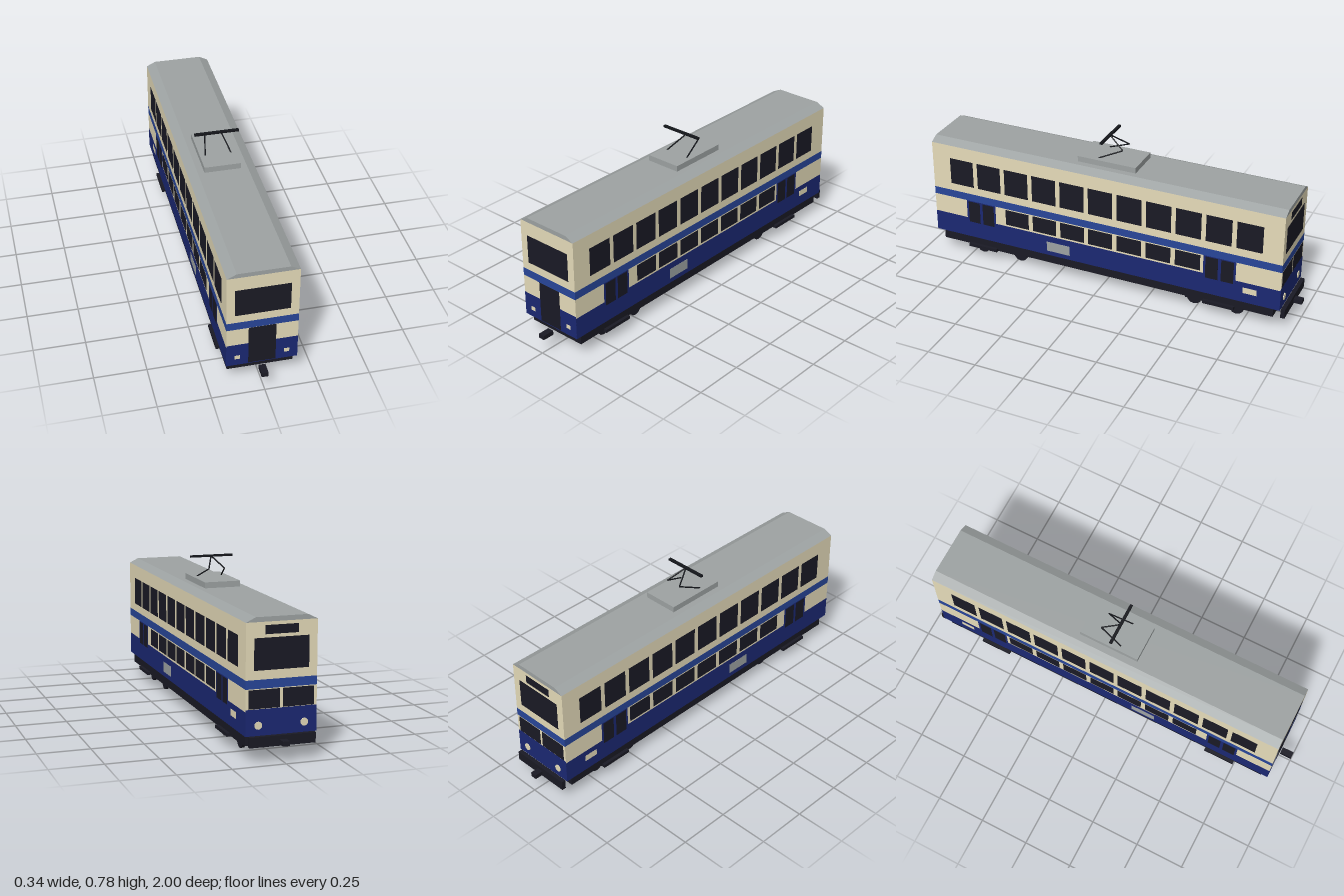
import * as THREE from 'three';

const mat = (name, color) => Object.assign(new THREE.MeshStandardMaterial({ color }), { name });

export function createModel() {
  const cream = mat('cream paint', 0xe6dcba);
  const navy = mat('navy paint', 0x1b2873);
  const blue = mat('band blue', 0x28469a);
  const grey = mat('roof grey', 0x9ea3a3);
  const glass = mat('dark glass', 0x1a1a25);
  const iron = mat('dark iron', 0x1a1a24);
  const black = mat('pantograph black', 0x14161b);

  const tram = new THREE.Group();
  tram.name = 'tram';
  const add = (name, geometry, material) => {
    const mesh = new THREE.Mesh(geometry, material);
    mesh.name = name;
    tram.add(mesh);
    return mesh;
  };
  // Box given by its limits on each axis
  const box = (name, m, x0, x1, y0, y1, z0, z1) =>
    add(name, new THREE.BoxGeometry(x1 - x0, y1 - y0, z1 - z0), m)
      .position.set((x0 + x1) / 2, (y0 + y1) / 2, (z0 + z1) / 2);
  // Four upright walls of thickness t, open above and below
  const walls = (name, m, w, l, y0, y1, t) => {
    for (const s of [1, -1]) {
      box(name + 'Side', m, s * (w - t / 2) - t / 2, s * (w - t / 2) + t / 2, y0, y1, -l, l);
      box(name + 'End', m, t - w, w - t, y0, y1, s * (l - t / 2) - t / 2, s * (l - t / 2) + t / 2);
    }
  };

  const W = 0.1666, L = 0.935;
  // Paint layers stand out from the wall by these small steps
  const PAINT = 0.0004, PANEL = 0.0007, PANE = 0.0011;
  // Thin plate on the side wall; s is the side, t how far it stands out
  const side = (name, m, s, z0, z1, y0, y1, t) =>
    box(name, m, s > 0 ? W - 0.001 : -W - t, s > 0 ? W + t : -W + 0.001, y0, y1, z0, z1);
  // Thin plate on an end wall
  const end = (name, m, s, x0, x1, y0, y1, t) =>
    box(name, m, x0, x1, y0, y1, s > 0 ? L - 0.001 : -L - t, s > 0 ? L + t : -L + 0.001);

  // Hollow body shell and bevelled roof
  walls('bodyWall', cream, W, L, 0.118, 0.623, 0.002);
  const roofShape = new THREE.Shape([[-W, 0.623], [W, 0.623], [0.122, 0.645], [-0.122, 0.645]]
    .map(([x, y]) => new THREE.Vector2(x, y)));
  const roof = new THREE.ExtrudeGeometry(roofShape, { depth: 2 * L, bevelEnabled: false });
  add('roof', roof.translate(0, 0, -L), grey);

  // Side walls
  for (const s of [1, -1]) {
    side('sideSkirt', navy, s, -L, L, 0.118, 0.228, PAINT);
    side('sideBand', blue, s, -L, L, 0.329, 0.369, PAINT);
    for (let i = 0; i < 11; i++) {
      const z = 0.77 - 0.154 * i;
      side('upperWindow', glass, s, z - 0.065, z + 0.065, 0.41, 0.552, PANE);
      if (i > 1 && i < 9) side('lowerWindow', glass, s, z - 0.065, z + 0.065, 0.238, 0.323, PANE);
    }
    for (const z of [0.668, -0.626]) {
      side('door', navy, s, z - 0.083, z + 0.083, 0.2, 0.329, PANEL);
      for (const d of [-0.04, 0.04])
        side('doorWindow', glass, s, z + d - 0.032, z + d + 0.032, 0.206, 0.324, PANE);
      const x = s * 0.1535;
      box('doorStep', iron, x - 0.0185, x + 0.0185, 0.059, 0.075, z - 0.08, z + 0.08);
    }
    side('ventPanel', grey, s, 0.169, 0.297, 0.142, 0.195, PANE);
    side('sidePlate', cream, s, -0.817, -0.747, 0.169, 0.2, PANE);
  }

  // Both ends share skirt, band, windscreen and coupler
  for (const s of [1, -1]) {
    end('endSkirt', navy, s, -W, W, 0.118, 0.238, PAINT);
    end('endBand', blue, s, -W, W, 0.329, 0.369, PAINT);
    end('windscreen', glass, s, -0.128, 0.128, 0.41, 0.553, PANE);
    box('coupler', iron, -0.016, 0.016, 0.079, 0.101, s > 0 ? 0.94 : -1, s > 0 ? 1 : -0.95);
  }

  // Front end: gangway door and square lamps
  end('frontDoor', glass, 1, -0.064, 0.064, 0.122, 0.328, PANE);
  for (const s of [1, -1])
    end('frontLamp', cream, 1, s * 0.1155 - 0.0125, s * 0.1155 + 0.0125, 0.153, 0.174, PANE);

  // Rear end: sign, split lower windows, round lamps and bumper
  end('destinationSign', glass, -1, -0.077, 0.077, 0.568, 0.608, PANE);
  for (const s of [1, -1]) {
    end('rearLowerWindow', glass, -1, s * 0.08 - 0.073, s * 0.08 + 0.073, 0.24, 0.325, PANE);
    const lamp = add('rearLamp', new THREE.CylinderGeometry(0.018, 0.018, 0.006, 12), cream);
    lamp.rotation.x = Math.PI / 2;
    lamp.position.set(s * 0.108, 0.165, -L - 0.001);
  }
  box('rearBumper', iron, -0.155, 0.155, 0.072, 0.119, -0.958, -0.937);

  // Hollow underframe with a floor, and two bogies with open frames
  walls('underframe', iron, 0.156, 0.9, 0.067, 0.118, 0.008);
  box('floor', iron, -0.156, 0.156, 0.114, 0.119, -0.9, 0.9);
  for (const c of [0.592, -0.59]) {
    for (const s of [1, -1]) {
      box('bogieSideBar', iron, s * 0.12 - 0.008, s * 0.12 + 0.008, 0.04, 0.068, c - 0.15, c + 0.15);
      box('bogieEndBar', iron, -0.113, 0.113, 0.04, 0.068, c + s * 0.142 - 0.008, c + s * 0.142 + 0.008);
      const axle = add('axle', new THREE.CylinderGeometry(0.008, 0.008, 0.23, 8), iron);
      axle.rotation.z = Math.PI / 2;
      axle.position.set(0, 0.05, c + s * 0.11);
      for (const x of [-0.1, 0.1]) {
        const wheel = add('wheel', new THREE.CylinderGeometry(0.038, 0.038, 0.015, 12), iron);
        wheel.rotation.z = Math.PI / 2;
        wheel.position.set(x, 0.038, c + s * 0.11);
      }
    }
  }

  // Pantograph: base, two bent arms and contact bar
  box('pantographBase', grey, -0.09, 0.09, 0.644, 0.674, -0.154, 0.154);
  const rod = (a, b) => {
    const p = new THREE.Vector3(...a), q = new THREE.Vector3(...b);
    const mesh = add('pantographArm', new THREE.CylinderGeometry(0.0035, 0.0035, p.distanceTo(q), 6), black);
    mesh.position.copy(p).lerp(q, 0.5);
    mesh.quaternion.setFromUnitVectors(new THREE.Vector3(0, 1, 0), q.sub(p).normalize());
  };
  for (const s of [1, -1]) {
    rod([s * 0.064, 0.673, 0.053], [s * 0.04, 0.725, -0.064]);
    rod([s * 0.04, 0.725, -0.064], [0, 0.776, 0.023]);
  }
  box('contactBar', black, -0.109, 0.109, 0.772, 0.782, 0.013, 0.027);
  return tram;
}
